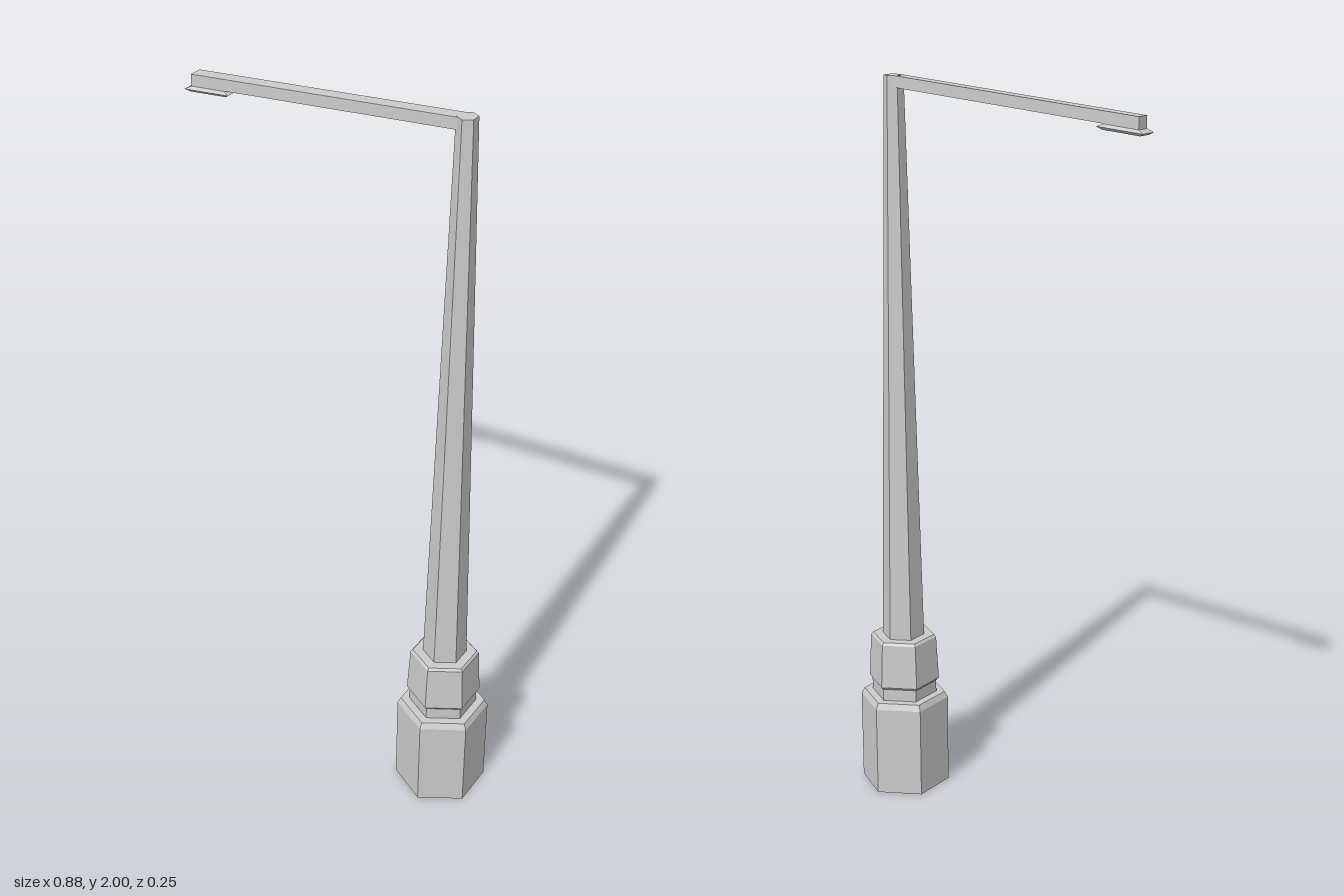
import * as THREE from 'three';

const POLE_X = 0.33;

export function createModel() {
  const group = new THREE.Group();
  const material = new THREE.MeshStandardMaterial({ color: 0xcccccc, flatShading: true });

  const add = (name, geometry, x = 0, z = 0) => {
    const mesh = new THREE.Mesh(geometry, material);
    mesh.name = name;
    mesh.position.set(x, 0, z);
    group.add(mesh);
  };

  // Six-sided turned part from [radius, y] pairs, bottom to top
  const hex = (name, profile) =>
    add(name, new THREE.LatheGeometry(profile.map(([r, y]) => new THREE.Vector2(r, y)), 6), POLE_X);

  hex('base', [[0, 0], [0.125, 0], [0.125, 0.258], [0.116, 0.275], [0, 0.275]]);
  hex('neck', [[0.092, 0.27], [0.092, 0.315]]);
  hex('collar', [[0, 0.31], [0.094, 0.31], [0.1, 0.317], [0.093, 0.443], [0.087, 0.45], [0, 0.45]]);
  hex('pole', [[0.059, 0.445], [0.026, 2], [0, 2]]);

  // Sloping arm with upright ends
  const armShape = new THREE.Shape([
    new THREE.Vector2(-0.424, 1.915), new THREE.Vector2(0.32, 1.97),
    new THREE.Vector2(0.32, 2), new THREE.Vector2(-0.424, 1.945),
  ]);
  add('arm', new THREE.ExtrudeGeometry(armShape, { depth: 0.036, bevelEnabled: false }), 0, -0.018);

  // Lamp: rectangular rings [y, xMin, xMax, halfDepth], top to bottom, tilted with the arm
  const rings = [
    [1.928, -0.424, -0.326, 0.018],
    [1.918, -0.424, -0.326, 0.018],
    [1.911, -0.44, -0.31, 0.025],
    [1.904, -0.429, -0.321, 0.018],
  ];
  const positions = [];
  const index = [];
  rings.forEach(([y, x0, x1, d], i) => {
    for (const [x, z] of [[x0, d], [x1, d], [x1, -d], [x0, -d]]) {
      positions.push(x, y + 0.074 * (x + 0.375), z);
    }
    if (i === 0) return;
    for (let k = 0; k < 4; k++) {
      const n = (k + 1) % 4;
      const a = (i - 1) * 4 + k, b = (i - 1) * 4 + n;
      const c = i * 4 + k, e = i * 4 + n;
      index.push(a, c, b, b, c, e);
    }
  });
  const last = (rings.length - 1) * 4;
  index.push(0, 1, 2, 0, 2, 3, last, last + 2, last + 1, last, last + 3, last + 2);
  const lamp = new THREE.BufferGeometry();
  lamp.setAttribute('position', new THREE.Float32BufferAttribute(positions, 3));
  lamp.setIndex(index);
  lamp.computeVertexNormals();
  add('lamp', lamp);

  return group;
}
